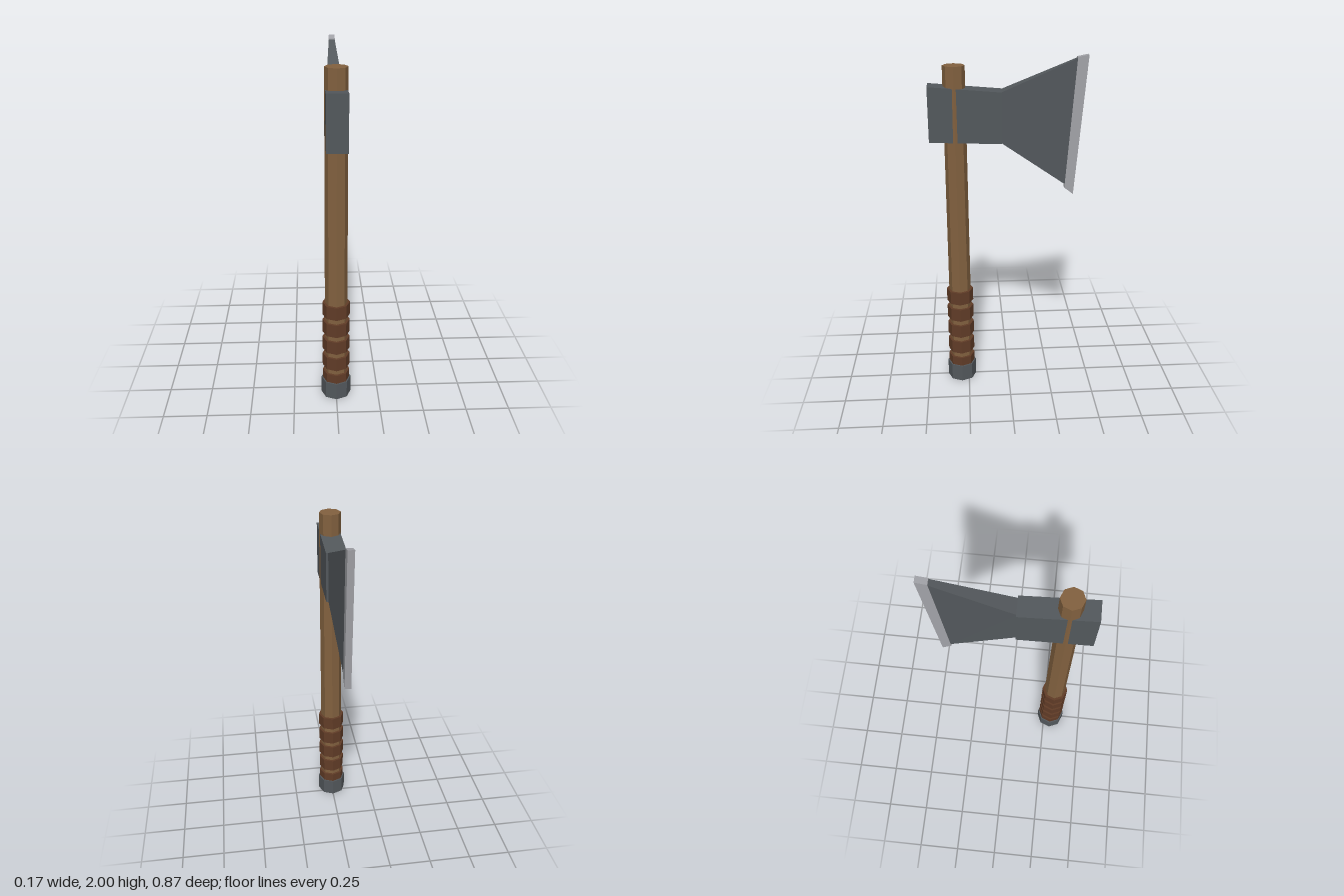
import * as THREE from 'three';

const flat = (name, color) => {
  const m = new THREE.MeshStandardMaterial({ color, flatShading: true });
  m.name = name;
  return m;
};

export function createModel() {
  const wood = flat('wood', 0x82613f);
  const leather = flat('leather', 0x613c27);
  const steel = flat('steel', 0x53585c);
  const edgeSteel = flat('bright steel', 0xa2a3a8);

  const axe = new THREE.Group();
  axe.name = 'axe';
  const handleZ = 0.293;

  const add = (name, geometry, material) => {
    const mesh = new THREE.Mesh(geometry, material);
    mesh.name = name;
    axe.add(mesh);
    return mesh;
  };

  // Eight-sided section of the shaft between two heights
  const ring = (name, y0, y1, rBottom, rTop, material) => {
    const g = new THREE.CylinderGeometry(rTop, rBottom, y1 - y0, 8);
    g.translate(0, (y0 + y1) / 2, handleZ);
    return add(name, g, material);
  };

  // Box reshaped to a four-cornered side profile; each corner is [z, y, halfWidth]
  const block = (name, frontTop, frontBottom, backTop, backBottom, material) => {
    const g = new THREE.BoxGeometry(1, 1, 1);
    const p = g.attributes.position;
    for (let i = 0; i < p.count; i++) {
      const top = p.getY(i) > 0;
      const corner = p.getZ(i) > 0
        ? (top ? frontTop : frontBottom)
        : (top ? backTop : backBottom);
      p.setXYZ(i, Math.sign(p.getX(i)) * corner[2], corner[1], corner[0]);
    }
    g.computeVertexNormals();
    return add(name, g, material);
  };

  // Shaft, pommel and grip
  ring('handle', 0.02, 1.95, 0.066, 0.061, wood);
  ring('pommel', 0, 0.105, 0.087, 0.087, steel);
  for (let i = 0; i < 5; i++) {
    const y = 0.12 + i * 0.1138;
    ring('gripWrap' + (i + 1), y - 0.04, y + 0.04, 0.079, 0.079, leather);
  }

  // Head around the shaft, flared blade and cutting edge
  block('headBlock',
    [0.437, 1.846, 0.057], [0.437, 1.542, 0.057],
    [0.037, 1.812, 0.057], [0.037, 1.528, 0.057], steel);
  block('blade',
    [0.04, 1.81, 0.045], [0.04, 1.53, 0.045],
    [-0.375, 1.982, 0.017], [-0.325, 1.272, 0.017], steel);
  block('cuttingEdge',
    [-0.373, 1.988, 0.018], [-0.322, 1.252, 0.018],
    [-0.434, 2.0, 0.018], [-0.373, 1.212, 0.018], edgeSteel);

  return axe;
}
